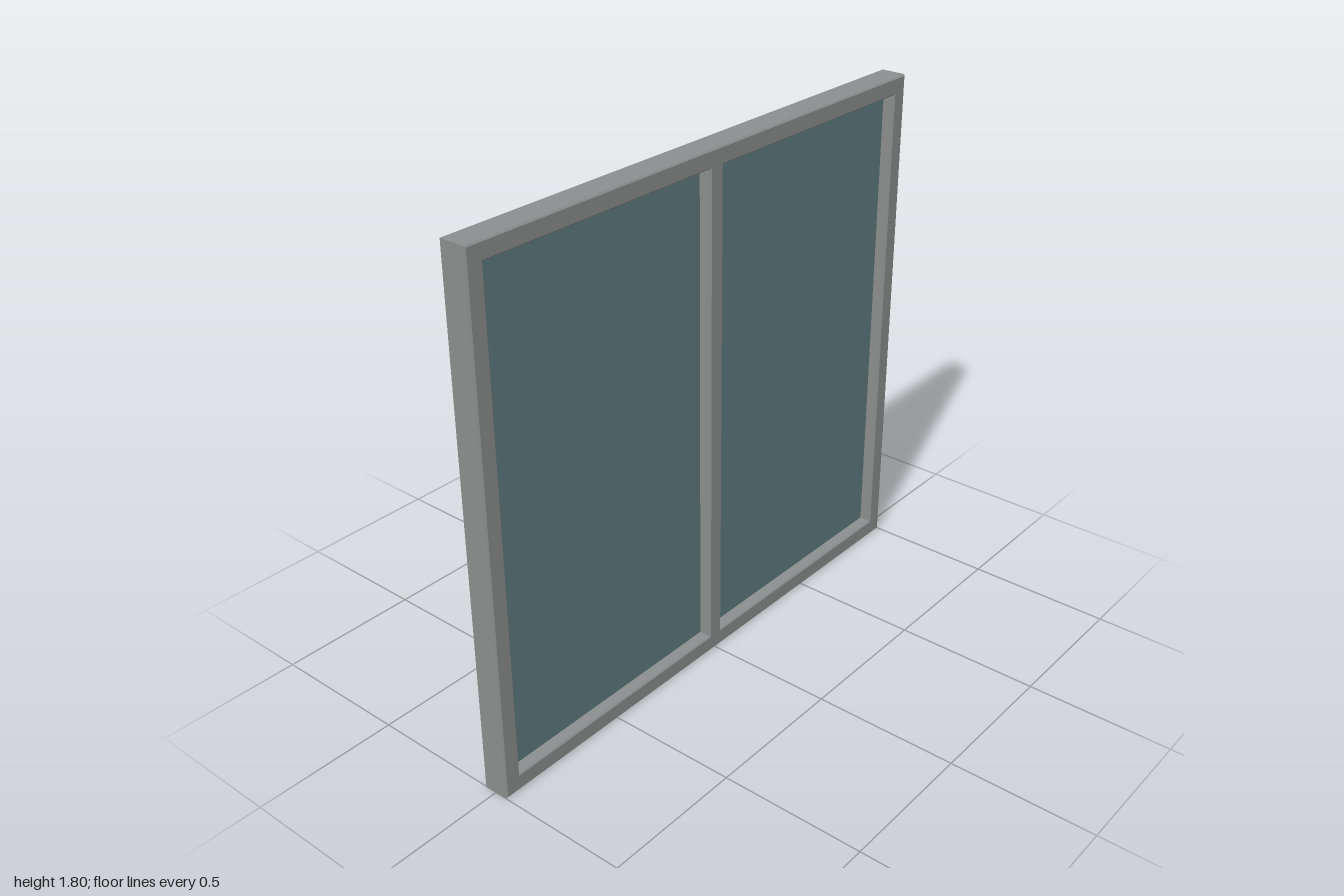
import * as THREE from 'three';

const W = 2, H = 1.8, D = 0.096; // overall size
const BAR = 0.06;                // width of frame bars
const BEVEL = 0.005;

export function createModel() {
  const group = new THREE.Group();
  group.name = 'window';

  const frameMaterial = new THREE.MeshStandardMaterial({ color: 0x8c8f8f });
  frameMaterial.name = 'grey frame';
  const glassMaterial = new THREE.MeshStandardMaterial({ color: 0x5f7b80 });
  glassMaterial.name = 'blue-grey glass';

  const rectangle = (Type, x0, y0, x1, y1) => new Type([
    new THREE.Vector2(x0, y0), new THREE.Vector2(x1, y0),
    new THREE.Vector2(x1, y1), new THREE.Vector2(x0, y1),
  ]);

  // Frame with centre mullion: one bevelled slab with two openings
  const paneWidth = (W - 3 * BAR) / 2;
  const paneHeight = H - 2 * BAR;
  const outline = rectangle(THREE.Shape, -W / 2, 0, W / 2, H);
  for (const side of [-1, 1]) {
    const cx = side * (BAR + paneWidth) / 2;
    outline.holes.push(rectangle(THREE.Path,
      cx - paneWidth / 2, BAR, cx + paneWidth / 2, H - BAR));

    // Glass pane, set midway through the frame
    const glass = new THREE.Mesh(
      new THREE.BoxGeometry(paneWidth + 0.01, paneHeight + 0.01, 0.01), glassMaterial);
    glass.name = side > 0 ? 'leftGlass' : 'rightGlass';
    glass.position.set(cx, H / 2, 0);
    group.add(glass);
  }

  const frameGeometry = new THREE.ExtrudeGeometry(outline, {
    depth: D - 2 * BEVEL, bevelEnabled: true, bevelThickness: BEVEL,
    bevelSize: BEVEL, bevelOffset: -BEVEL, bevelSegments: 1,
  });
  frameGeometry.translate(0, 0, -D / 2 + BEVEL);
  const frame = new THREE.Mesh(frameGeometry, frameMaterial);
  frame.name = 'frame';
  group.add(frame);

  return group;
}
